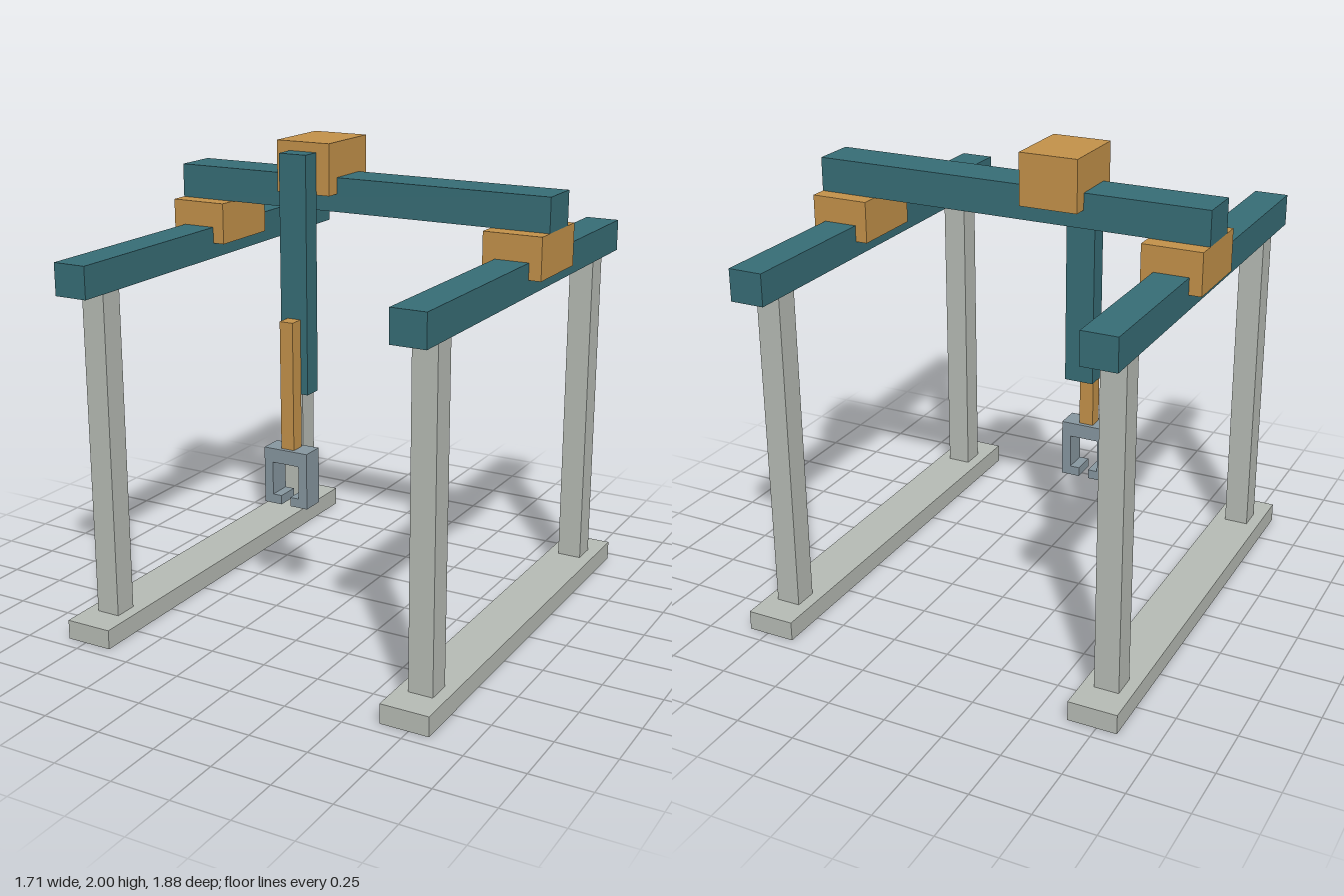
import * as THREE from 'three';

const paint = (color) => new THREE.MeshStandardMaterial({ color });

export function createModel() {
  const model = new THREE.Group();
  const stone = paint(0xb7bcb5), teal = paint(0x376d76), ochre = paint(0xc4924a), steel = paint(0x8797a0);

  // Box given by its extents on each axis
  const box = (name, material, [x0, x1], [y0, y1], [z0, z1], parent = model) => {
    const mesh = new THREE.Mesh(new THREE.BoxGeometry(x1 - x0, y1 - y0, z1 - z0), material);
    mesh.position.set((x0 + x1) / 2, (y0 + y1) / 2, (z0 + z1) / 2);
    mesh.name = name;
    parent.add(mesh);
  };
  const around = (center, width) => [center - width / 2, center + width / 2];

  // Two side frames: floor beam, posts, rail and sliding carriage
  for (const [side, x] of [['left', 0.732], ['right', -0.732]]) {
    const frame = new THREE.Group();
    frame.name = side + 'Frame';
    model.add(frame);
    box('floorBeam', stone, around(x, 0.206), [0, 0.083], [-0.942, 0.942], frame);
    for (const [end, z] of [['front', 0.756], ['back', -0.756]]) {
      box(end + 'Post', stone, around(x, 0.104), [0.083, 1.47], around(z, 0.104), frame);
    }
    box('rail', teal, around(x, 0.146), [1.47, 1.604], [-0.942, 0.942], frame);
    box('railCarriage', ochre, around(x, 0.25), [1.535, 1.71], [-0.272, 0.062], frame);
  }

  // Bridge and trolley
  box('bridge', teal, [-0.857, 0.857], [1.71, 1.853], [-0.2, -0.012], model);
  box('trolley', ochre, around(-0.213, 0.248), [1.785, 2], [-0.262, 0.052], model);

  // Hanging mast and telescopic arm
  box('mast', teal, around(-0.213, 0.126), [0.945, 1.96], [0.052, 0.136], model);
  box('telescopicArm', ochre, around(-0.213, 0.062), [0.71, 1.27], [0.136, 0.2], model);

  // Gripper: a C-shaped claw open at the bottom
  const half = [[0.022, 0.465], [0.104, 0.465], [0.104, 0.712], [-0.104, 0.712], [-0.104, 0.465], [-0.022, 0.465],
    [-0.022, 0.505], [-0.063, 0.505], [-0.063, 0.65], [0.063, 0.65], [0.063, 0.505], [0.022, 0.505]];
  const outline = new THREE.Shape(half.map(([x, y]) => new THREE.Vector2(x, y)));
  const gripper = new THREE.Mesh(new THREE.ExtrudeGeometry(outline, { depth: 0.102, bevelEnabled: false }), steel);
  gripper.name = 'gripper';
  gripper.position.set(-0.213, 0, 0.117);
  model.add(gripper);

  return model;
}
